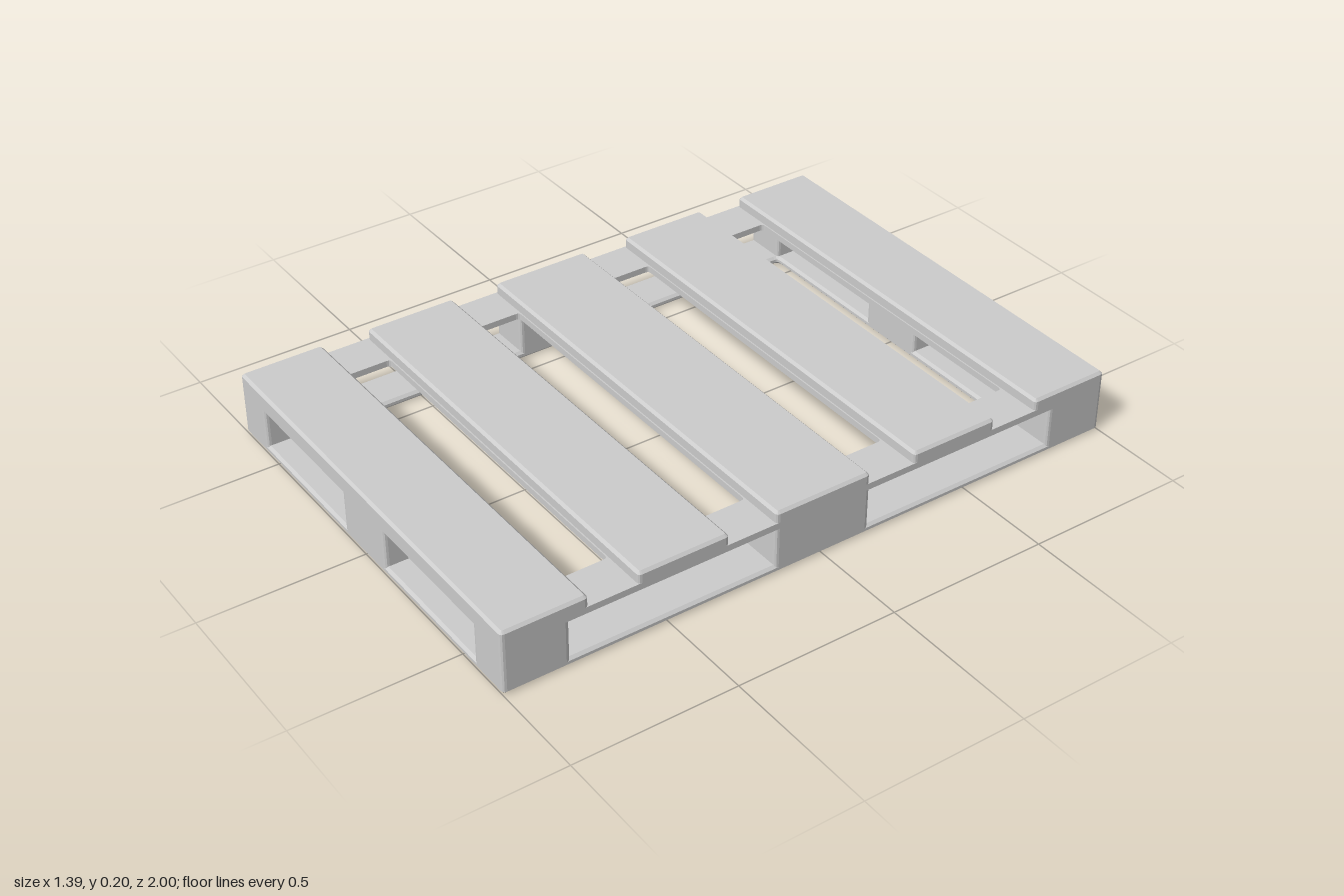
import * as THREE from 'three';

const HALF_X = 0.695, HALF_Z = 1;      // outer size
const IN_X = 0.56, IN_Z = 0.8;         // inner edge of blocks and base frame
const BASE_TOP = 0.025, DECK_BOTTOM = 0.145, DECK_TOP = 0.165, TOP = 0.2;

const material = new THREE.MeshStandardMaterial({ color: 0xcccccc });

// Rounded rectangle outline in plan
function outline(path, x0, x1, z0, z1, r) {
  path.moveTo(x0 + r, z0);
  path.lineTo(x1 - r, z0);
  path.quadraticCurveTo(x1, z0, x1, z0 + r);
  path.lineTo(x1, z1 - r);
  path.quadraticCurveTo(x1, z1, x1 - r, z1);
  path.lineTo(x0 + r, z1);
  path.quadraticCurveTo(x0, z1, x0, z1 - r);
  path.lineTo(x0, z0 + r);
  path.quadraticCurveTo(x0, z0, x0 + r, z0);
  return path;
}

// Flat slab from y0 to y1 with optional holes and chamfered rims
function slab(name, [x0, x1, z0, z1], y0, y1, { holes = [], bevel = 0 } = {}) {
  const shape = outline(new THREE.Shape(), x0, x1, z0, z1, 0.012);
  for (const h of holes) shape.holes.push(outline(new THREE.Path(), ...h, 0.012));
  const geometry = new THREE.ExtrudeGeometry(shape, {
    depth: y1 - y0 - 2 * bevel,
    curveSegments: 3,
    bevelEnabled: bevel > 0,
    bevelThickness: bevel,
    bevelSize: bevel,
    bevelOffset: -bevel,
    bevelSegments: 1,
  });
  geometry.rotateX(-Math.PI / 2);
  geometry.translate(0, y0 + bevel, 0);
  const mesh = new THREE.Mesh(geometry, material);
  mesh.name = name;
  return mesh;
}

export function createModel() {
  const group = new THREE.Group();
  group.name = 'pallet';

  // Base frame with one large opening
  group.add(slab('baseFrame', [-HALF_X, HALF_X, -HALF_Z, HALF_Z], 0, BASE_TOP, {
    holes: [[-IN_X, IN_X, -IN_Z, IN_Z]],
    bevel: 0.008,
  }));

  // Blocks around the rim: corners, middle of the ends, middle of the sides
  const xs = [[-HALF_X, -IN_X], [-0.11, 0.11], [IN_X, HALF_X]];
  const zs = [[-HALF_Z, -IN_Z], [-0.157, 0.157], [IN_Z, HALF_Z]];
  const blocks = new THREE.Group();
  blocks.name = 'blocks';
  xs.forEach((x, i) => zs.forEach((z, j) => {
    if (i === 1 && j === 1) return;
    blocks.add(slab('block', [...x, ...z], BASE_TOP - 0.008, DECK_BOTTOM));
  }));
  group.add(blocks);

  // Deck plate with four long slots
  const slots = [];
  for (const [a, b] of [[0.16, 0.304], [0.596, 0.738]]) {
    slots.push([-IN_X, IN_X, a, b], [-IN_X, IN_X, -b, -a]);
  }
  group.add(slab('deckPlate', [-HALF_X, HALF_X, -HALF_Z, HALF_Z], DECK_BOTTOM, DECK_TOP, { holes: slots }));

  // Five raised boards
  const boards = new THREE.Group();
  boards.name = 'deckBoards';
  for (const [a, b] of [[-1, -0.742], [-0.592, -0.308], [-0.156, 0.156], [0.308, 0.592], [0.742, 1]]) {
    boards.add(slab('deckBoard', [-HALF_X, HALF_X, a, b], DECK_TOP - 0.008, TOP, { bevel: 0.008 }));
  }
  group.add(boards);

  return group;
}
